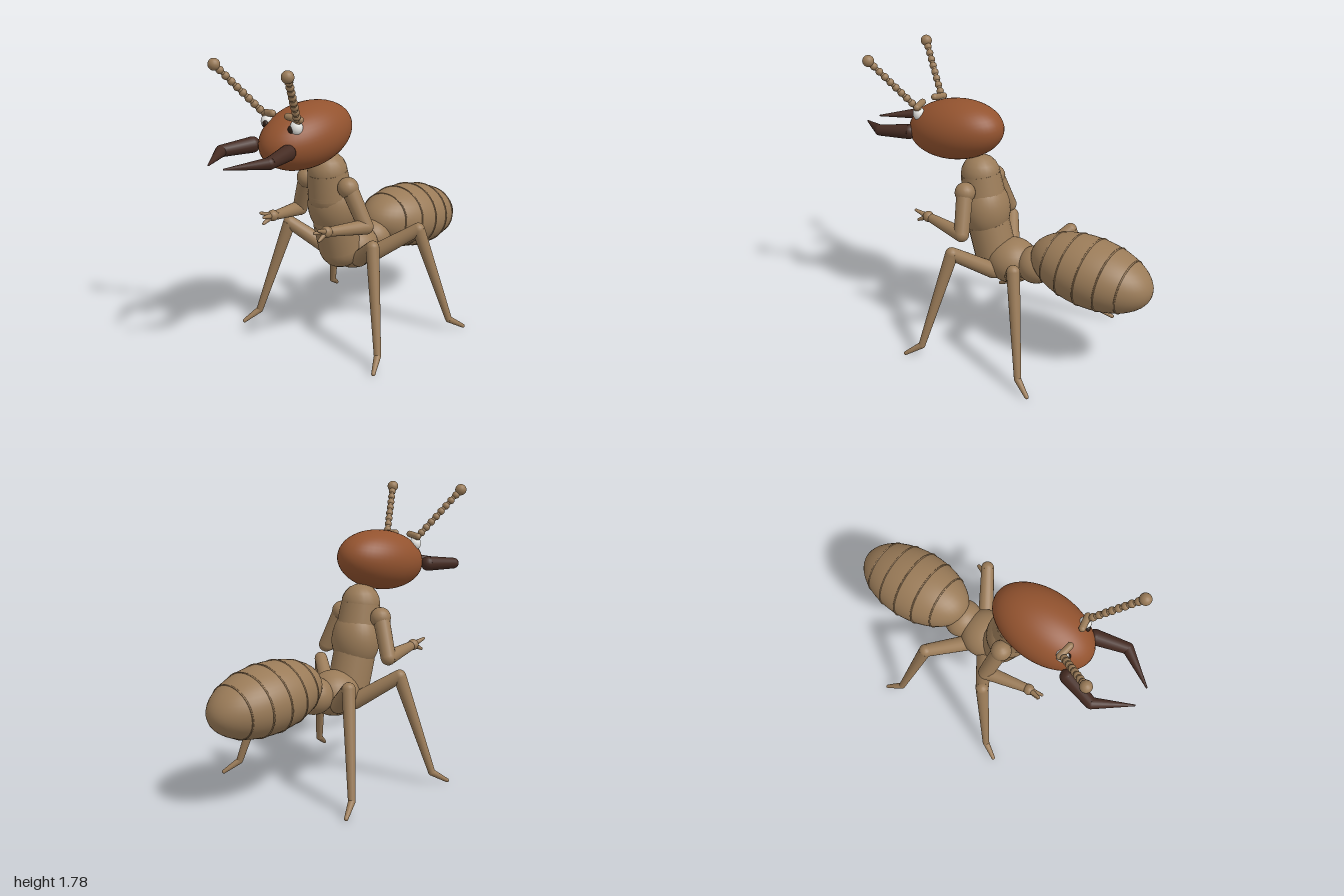
import * as THREE from 'three';

const mat = (name, color) => {
  const m = new THREE.MeshStandardMaterial({ color });
  m.name = name;
  return m;
};
const V = (x, y, z) => new THREE.Vector3(x, y, z);

export function createModel() {
  const root = new THREE.Group();
  root.name = 'ant';
  const tan = mat('tan', 0x9a7b58);
  const rust = mat('rust', 0x93532f);
  const dark = mat('darkBrown', 0x452b22);
  const white = mat('eyeWhite', 0xeeeeea);
  const pupilMat = mat('pupil', 0x2a1c14);

  const add = (parent, name, geo, material) => {
    const m = new THREE.Mesh(geo, material);
    m.name = name;
    parent.add(m);
    return m;
  };
  const group = (name) => {
    const g = new THREE.Group();
    g.name = name;
    root.add(g);
    return g;
  };
  const ellipsoid = (parent, name, c, r, material, tilt = 0, seg = 32) => {
    const m = add(parent, name, new THREE.SphereGeometry(1, seg, seg / 2), material);
    m.position.copy(c);
    m.scale.copy(r);
    m.rotation.x = tilt;
    return m;
  };
  const ball = (parent, name, c, r, material, seg = 20) =>
    ellipsoid(parent, name, c, V(r, r, r), material, 0, seg);
  // Tapered rod between two points
  const rod = (parent, name, a, b, ra, rb, material) => {
    const d = b.clone().sub(a);
    const m = add(parent, name, new THREE.CylinderGeometry(rb, ra, d.length(), 20), material);
    m.position.copy(a).addScaledVector(d, 0.5);
    m.quaternion.setFromUnitVectors(V(0, 1, 0), d.normalize());
    return m;
  };
  // Chain of tapered rods with round joints
  const chain = (parent, names, pts, radii, material) => {
    pts.forEach((p, i) => {
      ball(parent, 'joint', p, radii[i], material);
      if (i) rod(parent, names[i - 1], pts[i - 1], p, radii[i - 1], radii[i], material);
    });
  };

  // Upright body
  const body = group('body');
  chain(body, ['neck'], [V(0, 0.92, 0.14), V(0, 1.07, 0.163)], [0.135, 0.12], tan);
  ellipsoid(body, 'chest', V(0, 0.85, 0.12), V(0.155, 0.19, 0.142), tan, 0.1);
  chain(body, ['waist'], [V(0, 0.75, 0.105), V(0, 0.57, 0.055)], [0.13, 0.13], tan);
  ellipsoid(body, 'hips', V(0, 0.545, -0.065), V(0.155, 0.14, 0.16), tan);
  ellipsoid(body, 'rearNode', V(0, 0.56, -0.24), V(0.125, 0.115, 0.12), tan);

  // Abdomen with raised seam rings
  const abdomen = group('abdomen');
  abdomen.position.set(0, 0.612, -0.61);
  abdomen.rotation.x = -0.13;
  ellipsoid(abdomen, 'abdomenShell', V(0, 0, 0), V(0.229, 0.203, 0.392), tan, 0, 48);
  for (const t of [-0.245, -0.125, 0, 0.125, 0.245]) {
    const k = Math.sqrt(1 - (t / 0.392) ** 2);
    const ring = add(abdomen, 'seamRing', new THREE.TorusGeometry(1, 0.025, 8, 48), tan);
    ring.scale.set(0.229 * k, 0.203 * k, 0.2);
    ring.position.z = t;
  }

  // Head
  const head = group('head');
  ellipsoid(head, 'skull', V(0, 1.322, 0.338), V(0.205, 0.184, 0.323), rust, 0.15, 48);

  for (const s of [1, -1]) {
    const side = s > 0 ? 'left' : 'right';
    const P = (x, y, z) => V(s * x, y, z);

    // Eyes and brows
    ellipsoid(head, side + 'Eye', P(0.115, 1.415, 0.53), V(0.036, 0.042, 0.036), white, 0, 24);
    ellipsoid(head, side + 'Pupil', P(0.1, 1.405, 0.558), V(0.02, 0.022, 0.015), pupilMat, 0, 16);
    chain(head, [side + 'Brow'], [P(0.06, 1.47, 0.54), P(0.14, 1.46, 0.525)], [0.02, 0.02], tan);

    // Beaded antenna
    const antenna = group(side + 'Antenna');
    const a = P(0.125, 1.45, 0.53), b = P(0.285, 1.745, 0.757);
    rod(antenna, 'stalk', a, b, 0.016, 0.014, tan);
    for (let i = 0; i < 9; i++) {
      ball(antenna, 'bead', a.clone().lerp(b, i / 9), 0.023, tan, 16);
    }
    ball(antenna, 'tip', b, 0.035, tan);

    // Curved mandible, the pair sitting slightly off centre
    const J = (x, y, z) => V(s * x - 0.02, y, z);
    chain(group(side + 'Mandible'), ['jawBase', 'jawTip'],
      [J(0.14, 1.287, 0.605), J(0.192, 1.277, 0.79), J(0.062, 1.262, 0.994)],
      [0.046, 0.034, 0.005], dark);

    // Arm and fingers
    const arm = group(side + 'Arm');
    ball(arm, 'shoulder', P(0.165, 1.0, 0.165), 0.063, tan);
    chain(arm, ['upperArm', 'forearm'],
      [P(0.18, 0.98, 0.16), P(0.268, 0.775, 0.125), P(0.22, 0.8, 0.38)],
      [0.05, 0.046, 0.028], tan);
    const palm = P(0.218, 0.805, 0.405);
    ball(arm, 'palm', palm, 0.034, tan);
    for (const tip of [P(0.235, 0.835, 0.485), P(0.205, 0.815, 0.49), P(0.225, 0.77, 0.475)]) {
      chain(arm, ['finger'], [palm, tip], [0.019, 0.009], tan);
    }

    // Front and rear legs, mirrored about the hips
    for (const f of [1, -1]) {
      const L = (x, y, z) => V(s * x, y, -0.068 + f * z);
      chain(group(side + (f > 0 ? 'FrontLeg' : 'RearLeg')), ['thigh', 'shin', 'foot'],
        [L(0.11, 0.5, 0.07), L(0.34, 0.67, 0.215), L(0.495, 0.075, 0.345), L(0.542, 0.012, 0.436)],
        [0.05, 0.04, 0.021, 0.012], tan);
    }
  }
  return root;
}
